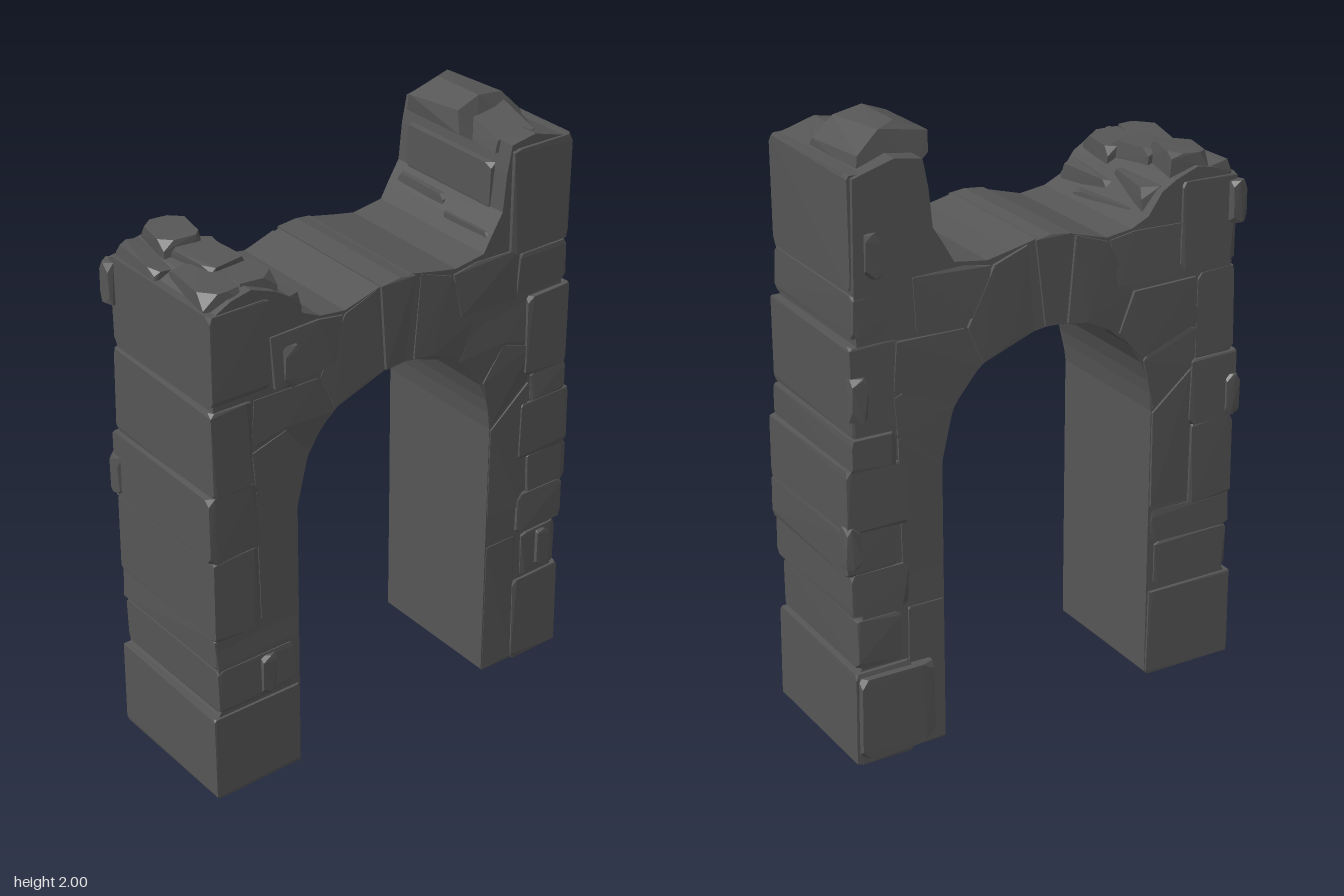
import * as THREE from 'three';
import { ConvexGeometry } from 'three/addons/geometries/ConvexGeometry.js';

export function createModel() {
  const group = new THREE.Group();
  const stone = new THREE.MeshStandardMaterial({ color: 0x565656 });
  stone.name = 'dark stone';

  let seed = 11;
  const rand = () => (seed = (seed * 16807) % 2147483647) / 2147483647;
  const jitter = (a) => (rand() - 0.5) * 2 * a;

  function add(name, geometry) {
    const mesh = new THREE.Mesh(geometry, stone);
    mesh.name = name;
    group.add(mesh);
    return mesh;
  }

  // Rough-hewn block: every corner is cut into three uneven points
  function block(name, x0, x1, y0, y1, z0, z1, chip = 0.022) {
    const pts = [];
    for (const [x, sx] of [[x0, 1], [x1, -1]])
      for (const [y, sy] of [[y0, 1], [y1, -1]])
        for (const [z, sz] of [[z0, 1], [z1, -1]]) {
          const c = () => chip * (0.3 + rand());
          const skin = () => rand() * 0.006;
          pts.push(new THREE.Vector3(x + sx * c(), y + sy * skin(), z + sz * skin()));
          pts.push(new THREE.Vector3(x + sx * skin(), y + sy * c(), z + sz * skin()));
          pts.push(new THREE.Vector3(x + sx * skin(), y + sy * skin(), z + sz * c()));
        }
    return add(name, new ConvexGeometry(pts));
  }

  // Convex stone from a front outline; the back may be shrunk or lowered
  function prism(name, outline, z0, z1, rough = 0.004) {
    const pts = [];
    for (const [x, y] of outline)
      for (const z of [z0, z1]) pts.push(new THREE.Vector3(x, y, z + jitter(rough)));
    return add(name, new ConvexGeometry(pts));
  }

  // Arch opening, rising from the right foot to the left foot
  const opening = [[0.378, 0.95], [0.366, 1.04], [0.335, 1.125], [0.285, 1.2], [0.21, 1.262],
    [0.125, 1.3], [0, 1.318]];
  const intrados = [...opening, ...opening.slice(0, -1).reverse().map(([x, y]) => [-x, y])];

  // Continuous body: piers, arch and broken upper edge
  const outline = [
    [-0.69, 0.012], [-0.69, 0.3], [-0.675, 0.33], [-0.685, 0.6], [-0.68, 0.9], [-0.675, 1.15],
    [-0.67, 1.38], [-0.668, 1.68], [-0.6, 1.715], [-0.53, 1.73], [-0.45, 1.7], [-0.4, 1.67],
    [-0.35, 1.6], [-0.29, 1.572], [-0.2, 1.56], [-0.12, 1.582], [-0.05, 1.602], [0.05, 1.602],
    [0.14, 1.582], [0.22, 1.566], [0.33, 1.582], [0.36, 1.635], [0.4, 1.7], [0.412, 1.82],
    [0.43, 1.91], [0.52, 1.925], [0.655, 1.885], [0.66, 1.55], [0.655, 1.38], [0.67, 1.1],
    [0.675, 0.8], [0.66, 0.52], [0.655, 0.36], [0.68, 0.3], [0.685, 0.012], [0.378, 0.012],
    ...intrados, [-0.378, 0.012],
  ];
  const shape = new THREE.Shape(outline.map(([x, y]) => new THREE.Vector2(x, y)));
  const body = new THREE.ExtrudeGeometry(shape, { depth: 0.5, bevelEnabled: false });
  body.translate(0, 0, -0.245);
  add('archBody', body);

  // Foot stones
  block('leftFootStone', -0.706, -0.38, 0, 0.31, -0.257, 0.265, 0.015);
  block('rightFootStone', 0.5, 0.698, 0, 0.325, -0.262, 0.265, 0.02);
  block('rightInnerFootStone', 0.38, 0.507, 0.004, 0.5, -0.252, 0.26, 0.008);
  block('rightBackFootStone', 0.43, 0.69, 0.03, 0.31, -0.282, -0.2, 0.035);

  // Outer stone courses: [bottom, top, inner x, outer x, back z, front z]
  const courses = {
    left: [
      [0.32, 0.48, 0.4, 0.688, -0.254, 0.262], [0.485, 0.6, 0.385, 0.695, -0.25, 0.258],
      [0.59, 0.88, 0.53, 0.694, -0.257, 0.265], [0.87, 1.1, 0.52, 0.702, -0.26, 0.262],
      [1.09, 1.385, 0.54, 0.686, -0.252, 0.264], [1.4, 1.69, 0.47, 0.68, -0.254, 0.262],
    ],
    right: [
      [0.33, 0.5, 0.53, 0.682, -0.252, 0.262], [0.51, 0.66, 0.5, 0.698, -0.256, 0.268],
      [0.65, 0.8, 0.54, 0.71, -0.252, 0.264], [0.79, 1.0, 0.5, 0.707, -0.256, 0.266],
      [0.99, 1.1, 0.54, 0.69, -0.262, 0.262], [1.1, 1.385, 0.51, 0.682, -0.25, 0.27],
      [1.4, 1.54, 0.47, 0.668, -0.248, 0.265], [1.545, 1.895, 0.43, 0.668, -0.232, 0.268],
    ],
  };
  for (const [side, rows] of Object.entries(courses)) {
    const s = side === 'left' ? -1 : 1;
    rows.forEach(([y0, y1, xi, xo, z0, z1], i) => {
      block(side + 'Course' + (i + 1), Math.min(s * xi, s * xo), Math.max(s * xi, s * xo),
        y0, y1, z0, z1);
    });
  }

  // Smooth facing stones beside the opening and in the haunches
  for (const s of [-1, 1]) {
    const m = (pts) => pts.map(([x, y]) => [s * x, y]);
    prism('innerPierStone', m([[0.381, 0.62], [0.52, 0.61], [0.53, 1.07], [0.381, 0.945]]),
      -0.252, 0.258);
    prism('springerStone', m([[0.382, 0.96], [0.53, 1.08], [0.54, 1.2], [0.42, 1.24], [0.342, 1.13]]),
      -0.25, 0.259);
    prism('haunchStone', m([[0.335, 1.14], [0.42, 1.25], [0.54, 1.22], [0.53, 1.375], [0.3, 1.37],
      [0.25, 1.24]]), -0.254, 0.257);
    prism('shoulderStone', m([[0.24, 1.4], [0.46, 1.39], [0.47, 1.56], [0.3, 1.565], [0.21, 1.55]]),
      -0.253, 0.264, 0.006);
    prism('voussoir', m([[0.24, 1.25], [0.29, 1.37], [0.2, 1.55], [0.085, 1.59], [0.06, 1.314],
      [0.13, 1.304]]), -0.254, 0.26);
  }
  prism('keystone', [[-0.05, 1.316], [0.02, 1.32], [0.055, 1.6], [0, 1.608], [-0.07, 1.6]],
    -0.25, 0.266);

  // Broken rubble on the left stump
  const rubble = [
    [-0.67, -0.56, 1.64, 1.72, -0.24, -0.02], [-0.655, -0.53, 1.66, 1.735, 0.0, 0.24],
    [-0.59, -0.46, 1.66, 1.775, -0.23, -0.06], [-0.57, -0.44, 1.64, 1.75, -0.08, 0.1],
    [-0.55, -0.41, 1.62, 1.735, 0.06, 0.23], [-0.47, -0.37, 1.55, 1.68, -0.22, 0.02],
    [-0.45, -0.35, 1.53, 1.65, 0.0, 0.24], [-0.4, -0.32, 1.52, 1.6, -0.16, 0.12],
  ];
  rubble.forEach((r) => {
    const b = block('leftRubble', ...r, 0.04);
    // Tilt each piece slightly about its own centre
    const c = new THREE.Vector3((r[0] + r[1]) / 2, (r[2] + r[3]) / 2, (r[4] + r[5]) / 2);
    b.geometry.translate(-c.x, -c.y, -c.z);
    b.position.copy(c);
    b.rotation.set(jitter(0.06), jitter(0.2), jitter(0.12));
  });

  // Overhanging cap and ragged inner face of the right tower
  const capPoints = [
    [0.37, 1.9, -0.17], [0.37, 1.9, 0.08], [0.36, 1.96, -0.15], [0.38, 1.97, 0.06],
    [0.46, 2, -0.13], [0.46, 2, 0.06], [0.53, 1.992, -0.17], [0.56, 1.985, 0.05],
    [0.61, 1.93, -0.19], [0.62, 1.92, 0.07], [0.42, 1.87, -0.19], [0.42, 1.87, 0.1],
    [0.62, 1.87, -0.2], [0.62, 1.87, 0.1],
  ];
  add('rightTowerCap', new ConvexGeometry(capPoints.map((p) => new THREE.Vector3(...p))));
  const frontCap = [
    [0.41, 1.88, 0.07], [0.43, 1.95, 0.05], [0.56, 1.965, 0.05], [0.61, 1.92, 0.07],
    [0.42, 1.91, 0.2], [0.55, 1.92, 0.215], [0.58, 1.88, 0.22], [0.41, 1.87, 0.2],
  ];
  add('rightTowerFrontCap', new ConvexGeometry(frontCap.map((p) => new THREE.Vector3(...p))));
  block('rightTowerChip', 0.365, 0.45, 1.56, 1.68, -0.22, 0.02, 0.03);
  block('rightTowerChip', 0.35, 0.46, 1.54, 1.64, 0.03, 0.25, 0.03);
  block('rightTowerChip', 0.395, 0.47, 1.67, 1.84, -0.2, 0.2, 0.03);

  // Loose chips standing proud at the outer corners
  for (const [x, y, z] of [[-0.68, 0.95, -0.24], [-0.67, 1.6, -0.25], [-0.5, 0.4, 0.25],
    [0.69, 0.75, -0.235], [0.66, 1.22, -0.24], [0.62, 0.42, 0.25], [-0.4, 1.45, 0.25],
    [0.6, 1.65, -0.23]])
    block('cornerChip', x - 0.03, x + 0.025, y - 0.07, y + 0.07, z - 0.03, z + 0.025, 0.03);

  return group;
}
